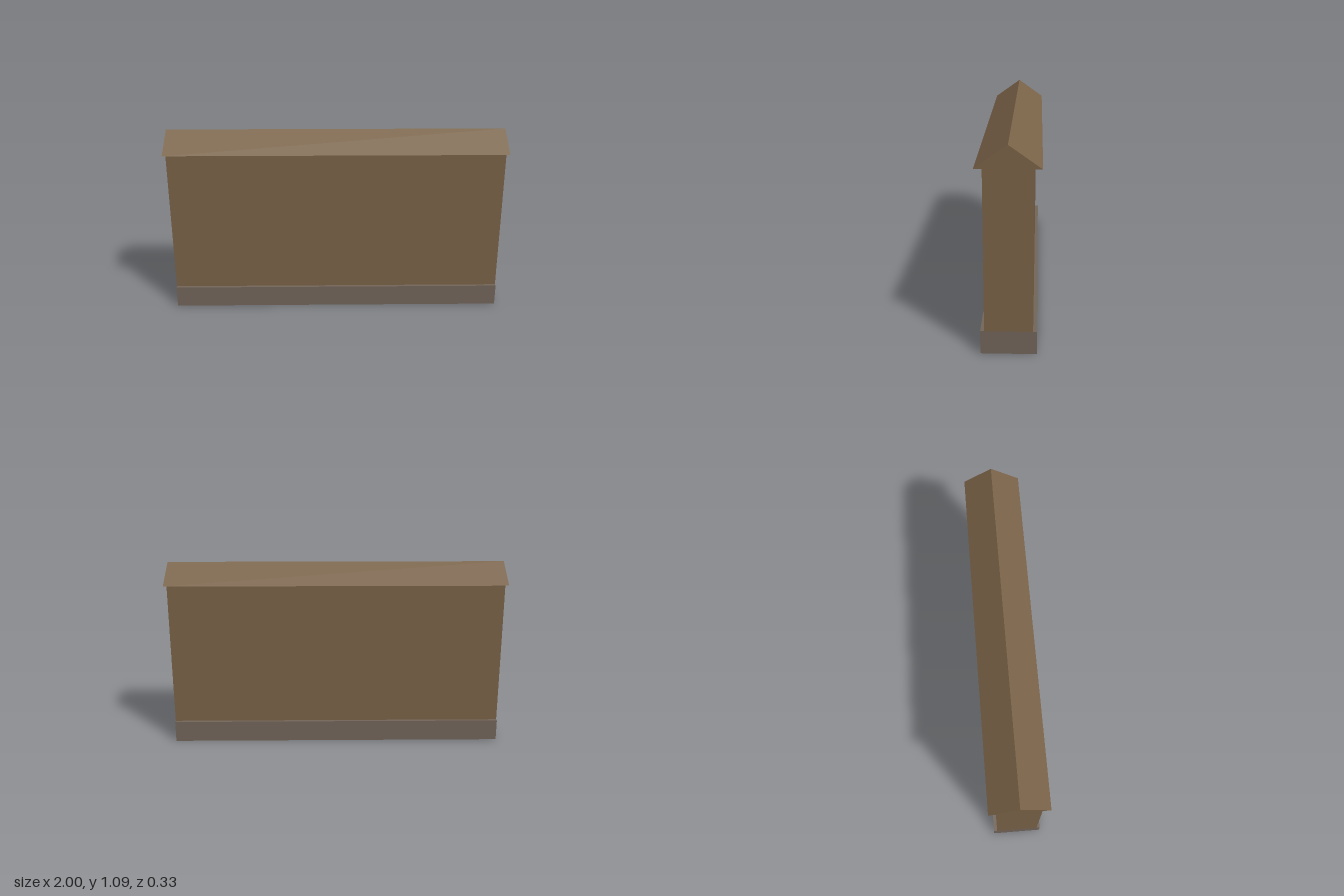
import * as THREE from 'three';

export function createModel() {
  const model = new THREE.Group();
  model.name = 'gabledWall';

  const timber = new THREE.MeshStandardMaterial({ color: 0x7a6348 });
  timber.name = 'brown timber';
  const stone = new THREE.MeshStandardMaterial({ color: 0x74665a, side: THREE.DoubleSide });
  stone.name = 'grey stone';

  const add = (name, geometry, material, y) => {
    const mesh = new THREE.Mesh(geometry, material);
    mesh.name = name;
    mesh.position.y = y;
    model.add(mesh);
  };

  const baseTop = 0.125, eaves = 0.972, ridge = 1.088;

  // Plinth: a thin shell, open underneath (the -y face group is dropped)
  const plinth = new THREE.BoxGeometry(1.976, baseTop, 0.286);
  const sides = plinth.groups.filter((_, i) => i !== 3);
  const index = Array.from(plinth.index.array);
  plinth.setIndex(sides.flatMap((g) => index.slice(g.start, g.start + g.count)));
  plinth.clearGroups();
  add('plinth', plinth, stone, baseTop / 2);

  // Wall body
  add('wall', new THREE.BoxGeometry(1.976, eaves - baseTop, 0.246), timber, (eaves + baseTop) / 2);

  // Roof: a closed triangular prism along x
  const gable = new THREE.Shape();
  gable.moveTo(-0.163, 0);
  gable.lineTo(0.163, 0);
  gable.lineTo(0, ridge - eaves);
  gable.closePath();
  const roof = new THREE.ExtrudeGeometry(gable, { depth: 2, bevelEnabled: false });
  roof.translate(0, 0, -1);
  roof.rotateY(Math.PI / 2);
  add('roof', roof, timber, eaves);

  return model;
}
